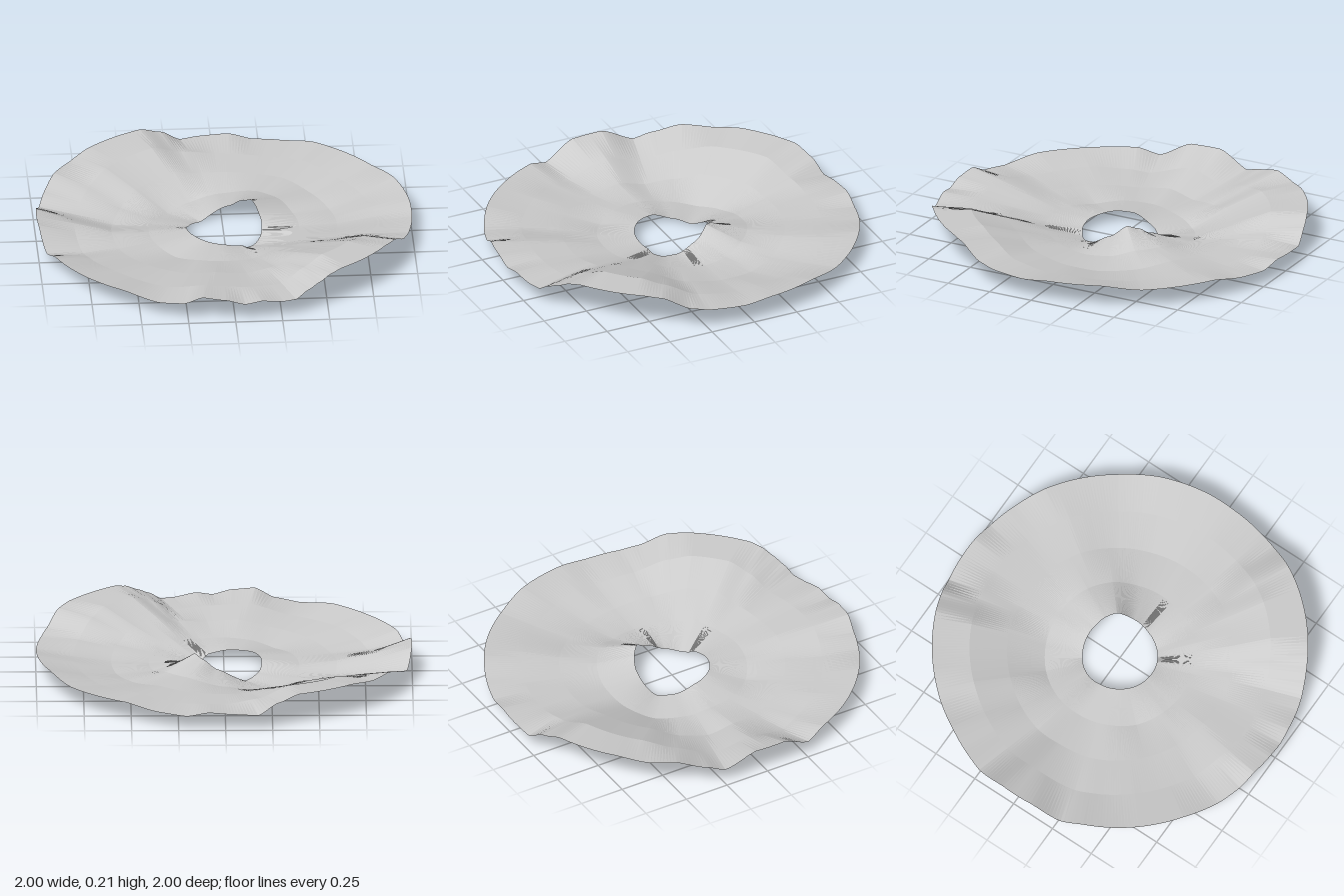
import * as THREE from 'three';

// Concentric rings of the sheet: radius and its heights as [angle in degrees, y].
// Angle 0 is +x, 90 is +z.
const HOLE = [
  [19, 0.03], [42, 0.014], [55, 0.017], [67, 0.04], [99, 0.057], [145, 0.068], [173, 0.063],
  [206, 0.025], [235, 0.006], [281, 0.08], [303, 0.125], [321, 0.146], [348, 0.085],
];
const INNER = [
  [0, 0.05], [30, 0.065], [48, 0.08], [72, 0.06], [90, 0.06], [110, 0.055], [133, 0.035],
  [155, 0.045], [180, 0.04], [200, 0.02], [225, 0.003], [245, 0.02], [270, 0.05],
  [300, 0.085], [320, 0.085], [340, 0.055],
];
const MIDDLE = [
  [0, 0.06], [20, 0.085], [38, 0.135], [54, 0.145], [67, 0.1], [82, 0.085], [98, 0.095],
  [115, 0.07], [135, 0.06], [162, 0.04], [178, 0.055], [192, 0.025], [207, 0.045],
  [222, 0.085], [248, 0.095], [262, 0.075], [285, 0.075], [305, 0.085], [325, 0.06], [342, 0.05],
];
const OUTER = [
  [0, 0.09], [16, 0.11], [29, 0.175], [38, 0.205], [53, 0.208], [62, 0.165], [71, 0.1],
  [82, 0.105], [100, 0.12], [116, 0.08], [140, 0.08], [155, 0.06], [163, 0.045], [180, 0.105],
  [194, 0.055], [209, 0.11], [222, 0.15], [245, 0.165], [257, 0.11], [270, 0.085],
  [288, 0.08], [306, 0.1], [325, 0.08], [340, 0.085], [352, 0.095],
];
const RIM = [
  [3, 0.115], [14, 0.12], [20, 0.135], [29, 0.2], [35, 0.21], [55, 0.213], [59, 0.2],
  [63, 0.17], [67, 0.14], [71, 0.1], [75, 0.1], [82, 0.118], [87, 0.105], [93, 0.132],
  [100, 0.145], [106, 0.1], [114, 0.088], [126, 0.113], [145, 0.107], [157, 0.105],
  [164, 0.07], [174, 0.153], [184, 0.157], [194, 0.083], [200, 0.115], [209, 0.158],
  [218, 0.153], [228, 0.173], [247, 0.178], [254, 0.14], [260, 0.08], [266, 0.09],
  [275, 0.1], [282, 0.075], [291, 0.085], [302, 0.112], [325, 0.107], [338, 0.132],
  [354, 0.13],
];
const RINGS = [[0.2, HOLE], [0.4, INNER], [0.6, MIDDLE], [0.8, OUTER], [1, RIM]];

// Periodic eased interpolation of a height list
function heightAt(keys, deg) {
  const n = keys.length;
  let i = 0;
  while (i < n && keys[i][0] <= deg) i++;
  const a = keys[(i + n - 1) % n];
  const b = keys[i % n];
  const span = (b[0] - a[0] + 360) % 360;
  const t = ((deg - a[0] + 360) % 360) / span;
  const eased = (t + t * t * (3 - 2 * t)) / 2;
  return a[1] + (b[1] - a[1]) * eased;
}

export function createModel() {
  const group = new THREE.Group();
  const segments = 360;
  const row = segments + 1;
  const positions = [];
  const indices = [];

  // Rippled sheet around a central hole, faceted between the rings
  for (const [r, keys] of RINGS) {
    for (let i = 0; i <= segments; i++) {
      const deg = ((i % segments) * 360) / segments;
      const a = THREE.MathUtils.degToRad(deg);
      positions.push(r * Math.cos(a), heightAt(keys, deg), r * Math.sin(a));
    }
  }
  for (let ring = 0; ring < RINGS.length - 1; ring++) {
    for (let i = 0; i < segments; i++) {
      const p = ring * row + i;
      indices.push(p, p + 1, p + row, p + 1, p + row + 1, p + row);
    }
  }

  const geometry = new THREE.BufferGeometry();
  geometry.setAttribute('position', new THREE.Float32BufferAttribute(positions, 3));
  geometry.setIndex(indices);
  geometry.computeVertexNormals();
  const sheet = new THREE.Mesh(
    geometry,
    new THREE.MeshStandardMaterial({ color: 0xcccccc, side: THREE.DoubleSide, flatShading: true })
  );
  sheet.name = 'rippledRing';
  group.add(sheet);
  return group;
}
